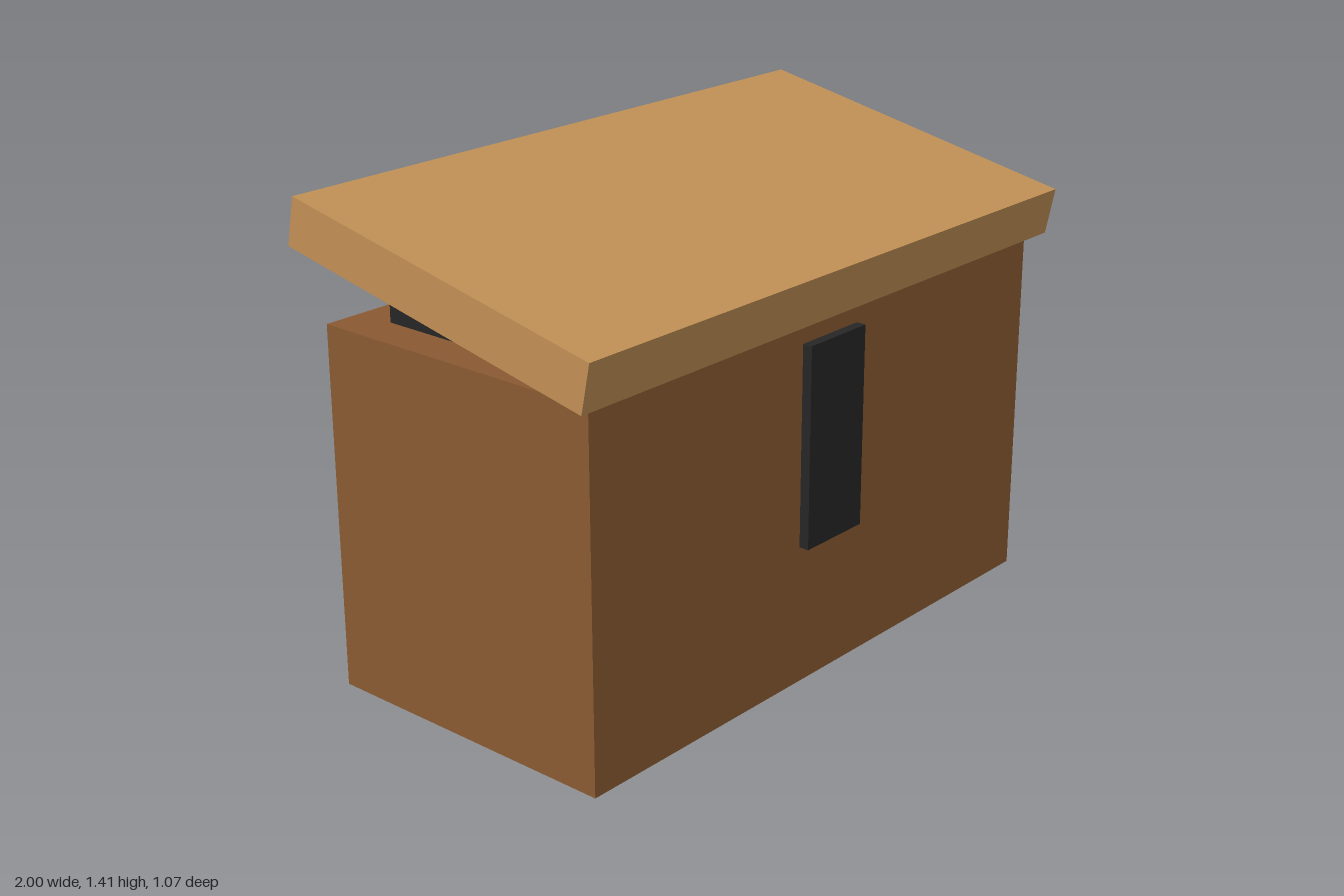
import * as THREE from 'three';

const wood = new THREE.MeshStandardMaterial({ name: 'brownWood', color: 0x8a5a32 });
const paleWood = new THREE.MeshStandardMaterial({ name: 'paleWood', color: 0xc29055 });
const dark = new THREE.MeshStandardMaterial({ name: 'darkMetal', color: 0x262626 });

// Named box given by its size and centre
function box(name, material, [w, h, d], [x, y, z]) {
  const mesh = new THREE.Mesh(new THREE.BoxGeometry(w, h, d), material);
  mesh.name = name;
  mesh.position.set(x, y, z);
  return mesh;
}

export function createModel() {
  const chest = new THREE.Group();
  chest.name = 'chest';

  // Closed body with a dark inset block rising through its top
  chest.add(box('body', wood, [1.882, 1.059, 0.941], [0, 0.5295, 0]));
  chest.add(box('inset', dark, [1.647, 0.235, 0.706], [0, 1.059, 0]));

  // Upright latch plate on the front
  chest.add(box('latch', dark, [0.235, 0.588, 0.059], [0, 0.706, 0.4705]));

  // Overhanging lid, tilted open at the back
  const lid = box('lid', paleWood, [2, 0.141, 1.059], [0, 1.237, 0]);
  lid.rotation.x = 0.2;
  chest.add(lid);

  return chest;
}
